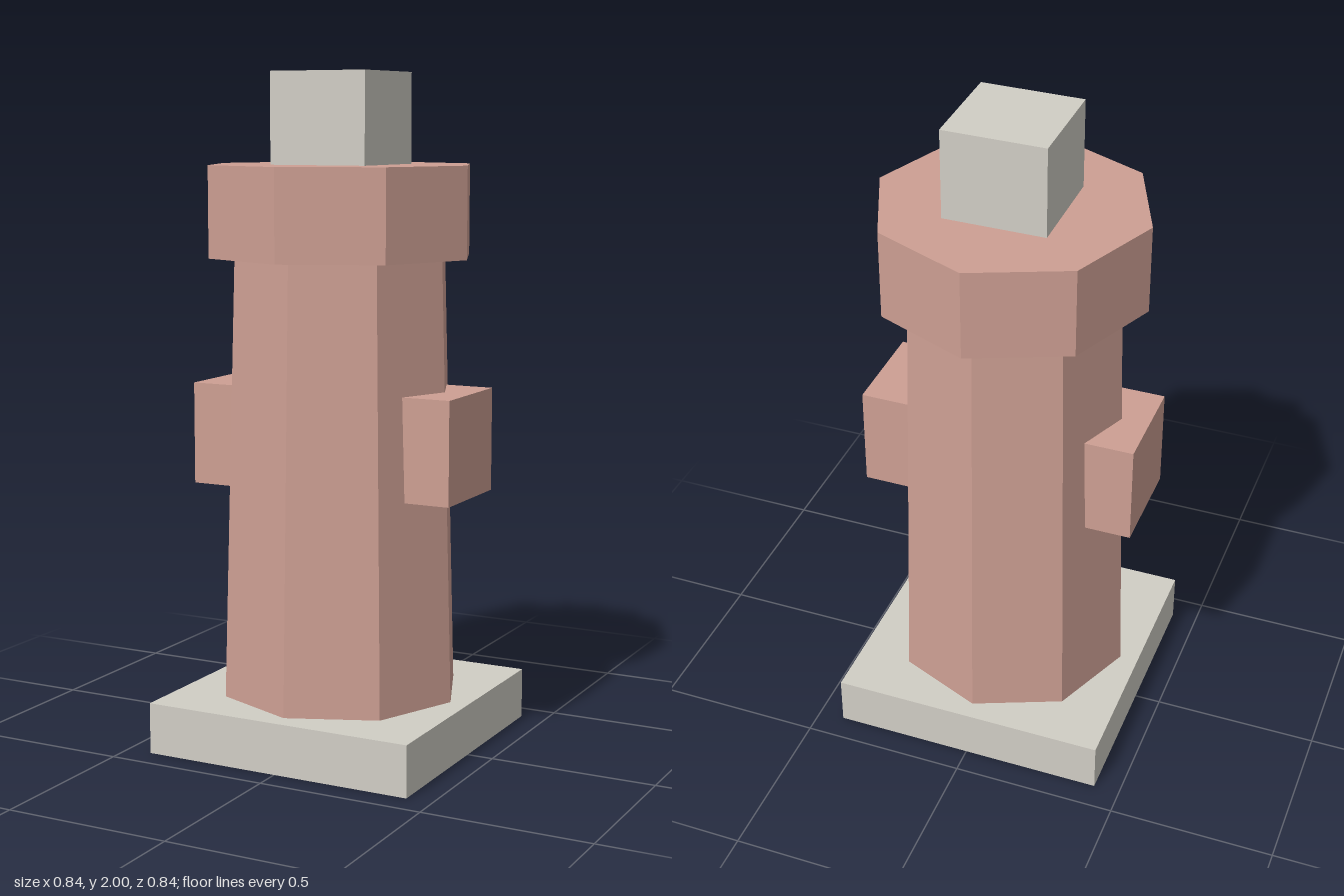
import * as THREE from 'three';

export function createModel() {
  const group = new THREE.Group();
  group.name = 'hydrant';

  const red = new THREE.MeshStandardMaterial({ color: 0xcd9f93, flatShading: true });
  red.name = 'faded red';
  const grey = new THREE.MeshStandardMaterial({ color: 0xd1cec5, flatShading: true });
  grey.name = 'pale grey';

  const add = (name, geometry, material, x, y) => {
    const mesh = new THREE.Mesh(geometry, material);
    mesh.name = name;
    mesh.position.set(x, y, 0);
    group.add(mesh);
  };
  // Octagonal section between two heights, corners on the axes
  const octagon = (name, rTop, rBottom, y0, y1) =>
    add(name, new THREE.CylinderGeometry(rTop, rBottom, y1 - y0, 8), red, 0, (y0 + y1) / 2);
  // Square block between two heights
  const block = (name, width, y0, y1) =>
    add(name, new THREE.BoxGeometry(width, y1 - y0, width), grey, 0, (y0 + y1) / 2);

  block('basePlate', 0.842, 0, 0.153);
  octagon('body', 0.326, 0.364, 0.153, 1.464);
  octagon('cap', 0.403, 0.403, 1.464, 1.732);
  block('topNut', 0.306, 1.732, 2);

  // Side outlets, sunk into the body
  for (const [name, side] of [['leftOutlet', 1], ['rightOutlet', -1]]) {
    add(name, new THREE.BoxGeometry(0.23, 0.306, 0.306), red, side * 0.306, 0.926);
  }

  return group;
}
